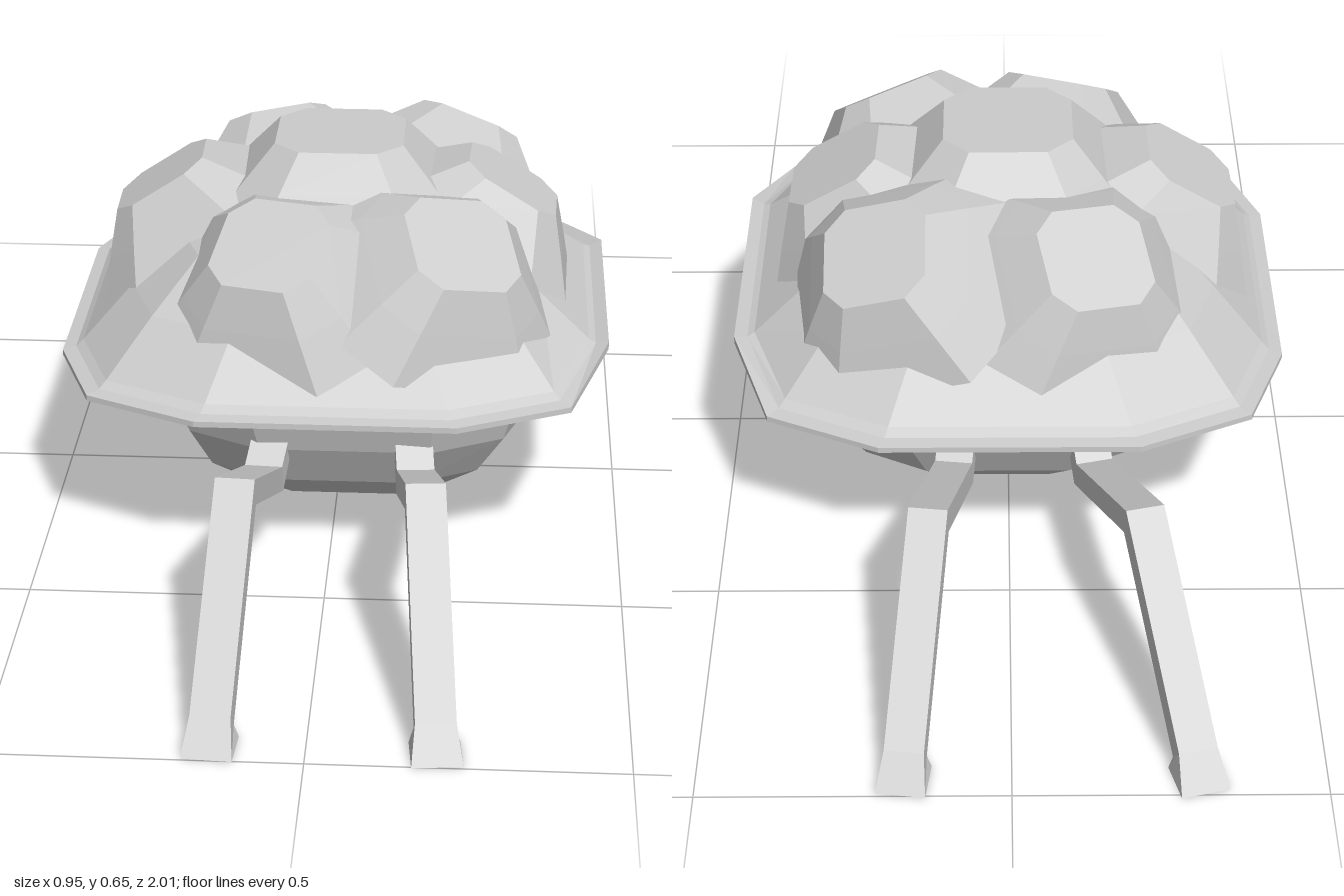
import * as THREE from 'three';

const material = new THREE.MeshStandardMaterial({ color: 0xcccccc, flatShading: true, side: THREE.DoubleSide });

// Skins a stack of rings (arrays of Vector3) and closes both ends
function loft(name, rings) {
  const pos = [];
  const tri = (...points) => points.forEach((p) => pos.push(p.x, p.y, p.z));
  const n = rings[0].length;
  for (let i = 0; i < rings.length - 1; i++) {
    for (let j = 0; j < n; j++) {
      const k = (j + 1) % n;
      tri(rings[i][j], rings[i][k], rings[i + 1][k]);
      tri(rings[i][j], rings[i + 1][k], rings[i + 1][j]);
    }
  }
  const first = rings[0], last = rings[rings.length - 1];
  for (let j = 1; j < n - 1; j++) {
    tri(first[0], first[j + 1], first[j]);
    tri(last[0], last[j], last[j + 1]);
  }
  const geometry = new THREE.BufferGeometry();
  geometry.setAttribute('position', new THREE.Float32BufferAttribute(pos, 3));
  geometry.computeVertexNormals();
  const mesh = new THREE.Mesh(geometry, material);
  mesh.name = name;
  return mesh;
}

// Rounded-square outline, counterclockwise seen from above (v points to -z)
const quarter = [[1, 0.46], [0.86, 0.82], [0.46, 1]];
const octagonQuarter = [[1, 0.6], [0.6, 1]];
function outline(points) {
  const flip = (sx, sy) => points.map(([u, v]) => [u * sx, v * sy]);
  return [...flip(1, 1), ...flip(-1, 1).reverse(), ...flip(-1, -1), ...flip(1, -1).reverse()];
}
const BODY = outline(quarter), OCTAGON = outline(octagonQuarter);

// Horizontal ring; lift raises the edge on the mouth side
function ring(shape, y, rx, rz, cx = 0, cz = 0, lift = 0) {
  return shape.map(([u, v]) => new THREE.Vector3(cx + u * rx, y + (u === 1 ? lift : 0), cz - v * rz));
}

// Raised lump: a flaring octagonal frustum tilted to follow the dome
function bump(x, y, z, size, twist, lean = 1.6) {
  const mesh = loft('shellBump', [
    ring(OCTAGON, -0.13, size + 0.11, size + 0.11),
    ring(OCTAGON, -0.06, size + 0.052, size + 0.052),
    ring(OCTAGON, 0, size, size),
  ]);
  const normal = new THREE.Vector3(x * lean, 0.8, z * lean).normalize();
  mesh.quaternion.setFromUnitVectors(new THREE.Vector3(0, 1, 0), normal);
  mesh.rotateY(twist);
  mesh.position.set(x, y, z);
  return mesh;
}

// Bent square-section leg: hip, elbow, knee, ankle and a flared flat foot
function leg(name, side, hipX, elbowX, kneeX, footX) {
  const path = [
    [hipX, 0.23, 0.31], [elbowX, 0.16, 0.375], [kneeX, 0.29, 0.67], [footX, 0.035, 0.94],
  ].map(([x, y, z]) => new THREE.Vector3(x, y, z * side));
  const up = new THREE.Vector3(0, 1, 0);
  const heading = path[3].clone().sub(path[1]).setY(0).normalize();
  const across = new THREE.Vector3().crossVectors(up, heading);
  const corners = (p, w, h, halfW) => [[1, 1], [-1, 1], [-1, -1], [1, -1]].map(([a, b]) =>
    p.clone().addScaledVector(w, a * halfW).addScaledVector(h, b));
  const rings = path.map((p, i) => {
    const before = p.clone().sub(path[Math.max(i - 1, 0)]).normalize();
    const after = path[Math.min(i + 1, 3)].clone().sub(p).normalize();
    const tangent = before.clone().add(after).normalize();
    const normal = new THREE.Vector3().crossVectors(tangent, across).normalize();
    // Mitre: widen the section where the path bends
    const cosHalf = i > 0 && i < 3 ? tangent.dot(after) : 1;
    return corners(p, across, normal.multiplyScalar(0.021 / cosHalf), 0.032);
  });
  const sole = new THREE.Vector3(footX + heading.x * 0.025, 0, 0.963 * side);
  rings.push(corners(sole, across, heading.clone().multiplyScalar(0.036), 0.04));
  return loft(name, rings);
}

// Grinning mouth: a trapezoid frame with two rows of pointed teeth
function createMouth() {
  const mouth = new THREE.Group();
  mouth.name = 'mouth';
  const trapezoid = (Type, top, bottom, y1, y0) => new Type(
    [[-bottom, y0], [bottom, y0], [top, y1], [-top, y1]].map(([x, y]) => new THREE.Vector2(x, y)));
  const frame = trapezoid(THREE.Shape, 0.11, 0.065, 0.04, -0.035);
  frame.holes.push(trapezoid(THREE.Path, 0.092, 0.056, 0.027, -0.024));
  const lips = new THREE.Mesh(
    new THREE.ExtrudeGeometry(frame, { depth: 0.014, bevelEnabled: false }), material);
  lips.name = 'lips';
  mouth.add(lips);
  const toothGeometry = new THREE.ConeGeometry(0.012, 0.026, 4);
  for (const [count, width, y, turn] of [[6, 0.15, 0.016, Math.PI], [5, 0.09, -0.014, 0]]) {
    for (let i = 0; i < count; i++) {
      const tooth = new THREE.Mesh(toothGeometry, material);
      tooth.name = 'tooth';
      tooth.position.set((i / (count - 1) - 0.5) * width, y, 0.004);
      tooth.rotation.z = turn;
      tooth.scale.z = 0.6;
      mouth.add(tooth);
    }
  }
  mouth.rotation.set(0.4, Math.PI / 2, 0, 'YXZ');
  mouth.position.set(0.331, 0.203, 0);
  return mouth;
}

export function createModel() {
  const model = new THREE.Group();
  model.name = 'shelledWalker';

  // Bowl-shaped belly
  model.add(loft('belly', [
    [0.042, 0.13, 0.2, 0.015], [0.065, 0.2, 0.25, 0.02], [0.12, 0.27, 0.312, 0.02],
    [0.2, 0.316, 0.355, 0.025], [0.312, 0.352, 0.39, 0.02],
  ].map(([y, rx, rz, cx]) => ring(BODY, y, rx, rz, cx, -0.008))));

  // Shell: flat underside, thin brim and domed back
  model.add(loft('shell', [
    [0.307, 0.35, 0.385, 0], [0.305, 0.474, 0.495, 0.036], [0.315, 0.474, 0.495, 0.04],
    [0.318, 0.452, 0.472, 0.03], [0.328, 0.44, 0.455, 0.024], [0.42, 0.355, 0.375, 0],
    [0.5, 0.27, 0.28, 0], [0.56, 0.15, 0.15, 0], [0.585, 0.05, 0.05, 0],
  ].map(([y, rx, rz, lift]) => ring(BODY, y, rx, rz, 0, -0.017, lift))));

  // Lumps: one on the crown and six around it
  model.add(
    bump(0, 0.65, -0.01, 0.112, 0, 0),
    bump(-0.32, 0.56, -0.015, 0.09, 0.05),
    bump(0.305, 0.565, -0.015, 0.09, -0.05),
    bump(-0.145, 0.557, -0.31, 0.092, 0.3),
    bump(0.225, 0.56, -0.3, 0.092, -0.1),
    bump(-0.105, 0.555, 0.29, 0.092, -0.3),
    bump(0.22, 0.553, 0.265, 0.095, 0.35),
  );

  model.add(
    leg('frontRightLeg', 1, -0.095, -0.11, -0.13, -0.146),
    leg('frontLeftLeg', 1, 0.14, 0.148, 0.172, 0.198),
    leg('backRightLeg', -1, -0.13, -0.145, -0.215, -0.29),
    leg('backLeftLeg', -1, 0.085, 0.095, 0.132, 0.168),
    createMouth(),
  );
  return model;
}
